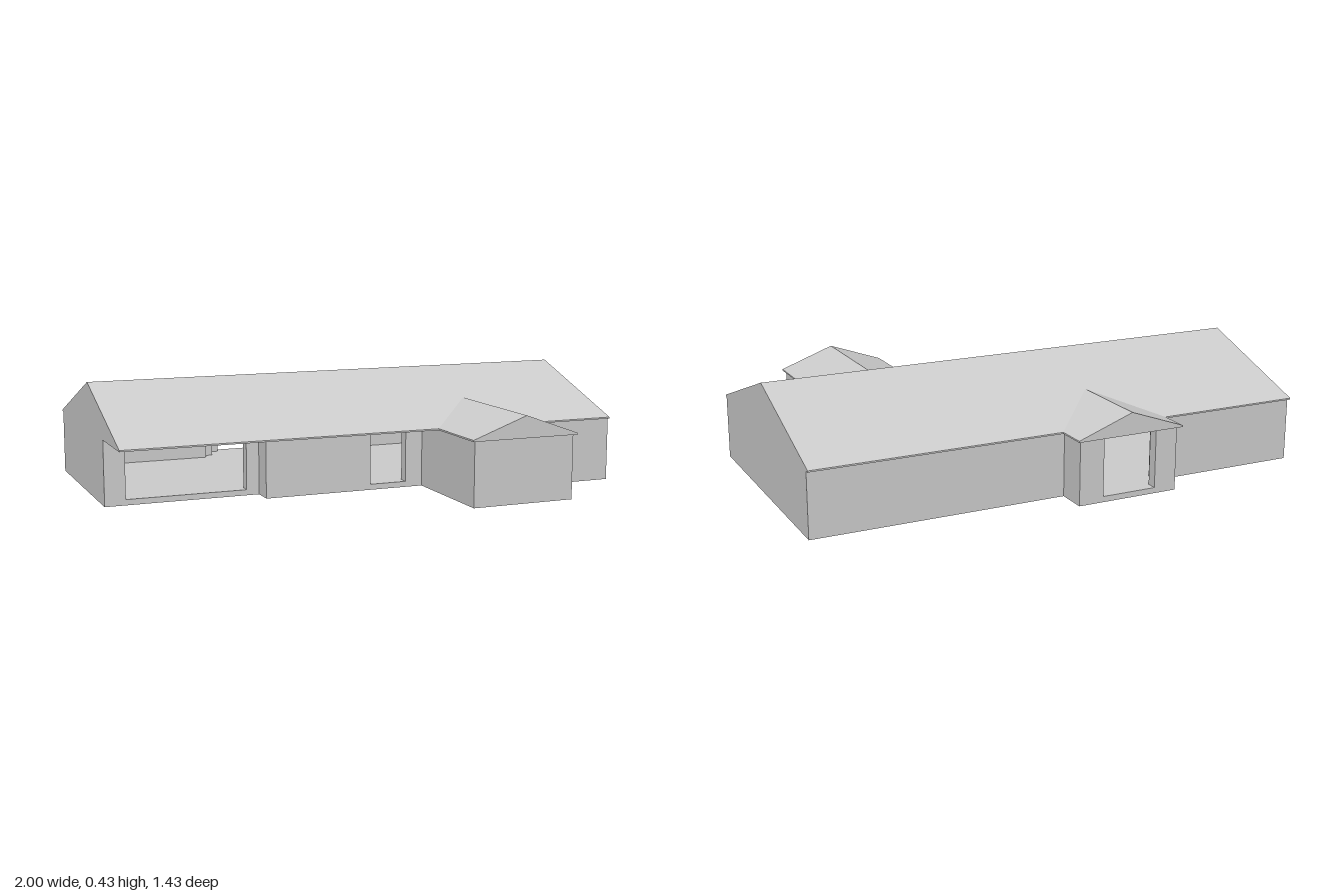
import * as THREE from 'three';

const SILL = 0.022, EAVE = 0.25, FASCIA = 0.006, WALL = 0.04;

const material = new THREE.MeshStandardMaterial({ color: 0xcccccc, flatShading: true });

// Footprint corners [x, z], walked with the inside on the +z side of each wall.
// The third entry is an opening [from, to], measured along the wall from its corner.
const footprint = [
  [-1, -0.58],
  [-0.4, -0.58],
  [-0.4, -0.7, [0.09, 0.31]],
  [0.01, -0.7],
  [0.01, -0.58],
  [1, -0.58],
  [1, 0.42],
  [0.665, 0.42],
  [0.665, 0.7],
  [0.25, 0.7],
  [0.25, 0.255, [0.07, 0.22]],
  [-0.4, 0.255],
  [-0.4, 0.17, [0.05, 0.52]],
  [-1, 0.17],
];

function named(geometry, name) {
  const mesh = new THREE.Mesh(geometry, material);
  mesh.name = name;
  return mesh;
}

function polygon(points) {
  return new THREE.Shape(points.map(([x, y]) => new THREE.Vector2(x, y)));
}

function extrude(shape, depth) {
  return new THREE.ExtrudeGeometry(shape, { depth, bevelEnabled: false });
}

function rectangle(x0, y0, x1, y1) {
  return [[x0, y0], [x1, y0], [x1, y1], [x0, y1]];
}

// One wall panel between two corners, with an optional opening
function wall([x0, z0, opening], [x1, z1]) {
  const dx = x1 - x0, dz = z1 - z0;
  const shape = polygon(rectangle(0, 0, Math.hypot(dx, dz), EAVE + FASCIA / 2));
  if (opening) {
    shape.holes.push(polygon(rectangle(opening[0], SILL, opening[1], EAVE - 0.002)));
  }
  const mesh = named(extrude(shape, WALL), opening ? 'wallWithOpening' : 'wall');
  mesh.position.set(x0, 0, z0);
  mesh.rotation.y = Math.atan2(-dz, dx);
  return mesh;
}

// Closed gable roof with a flat underside, running along z
function gableRoof(name, half, ridgeY, length) {
  const section = polygon([
    [-half, EAVE], [half, EAVE], [half, EAVE + FASCIA],
    [0, ridgeY], [-half, EAVE + FASCIA],
  ]);
  return named(extrude(section, length), name);
}

export function createModel() {
  const house = new THREE.Group();
  house.name = 'house';

  // Floor slab
  const slab = extrude(polygon(footprint.map(([x, z]) => [x, -z])), SILL);
  slab.rotateX(-Math.PI / 2);
  house.add(named(slab, 'floor'));

  // Outer walls
  const walls = new THREE.Group();
  walls.name = 'walls';
  footprint.forEach((corner, i) => {
    walls.add(wall(corner, footprint[(i + 1) % footprint.length]));
  });
  house.add(walls);

  // Main roof, its ridge along x
  const mainRoof = gableRoof('mainRoof', 0.515, 0.434, 2);
  mainRoof.rotation.y = Math.PI / 2;
  mainRoof.position.set(-1, 0, -0.083);
  house.add(mainRoof);

  // Cross gables over the front wing and the back porch
  const frontRoof = gableRoof('frontWingRoof', 0.22, 0.335, 0.615);
  frontRoof.position.set(0.456, 0, 0.1);
  const backRoof = gableRoof('backPorchRoof', 0.22, 0.335, 0.42);
  backRoof.position.set(-0.195, 0, -0.717);
  house.add(frontRoof, backRoof);

  return house;
}
